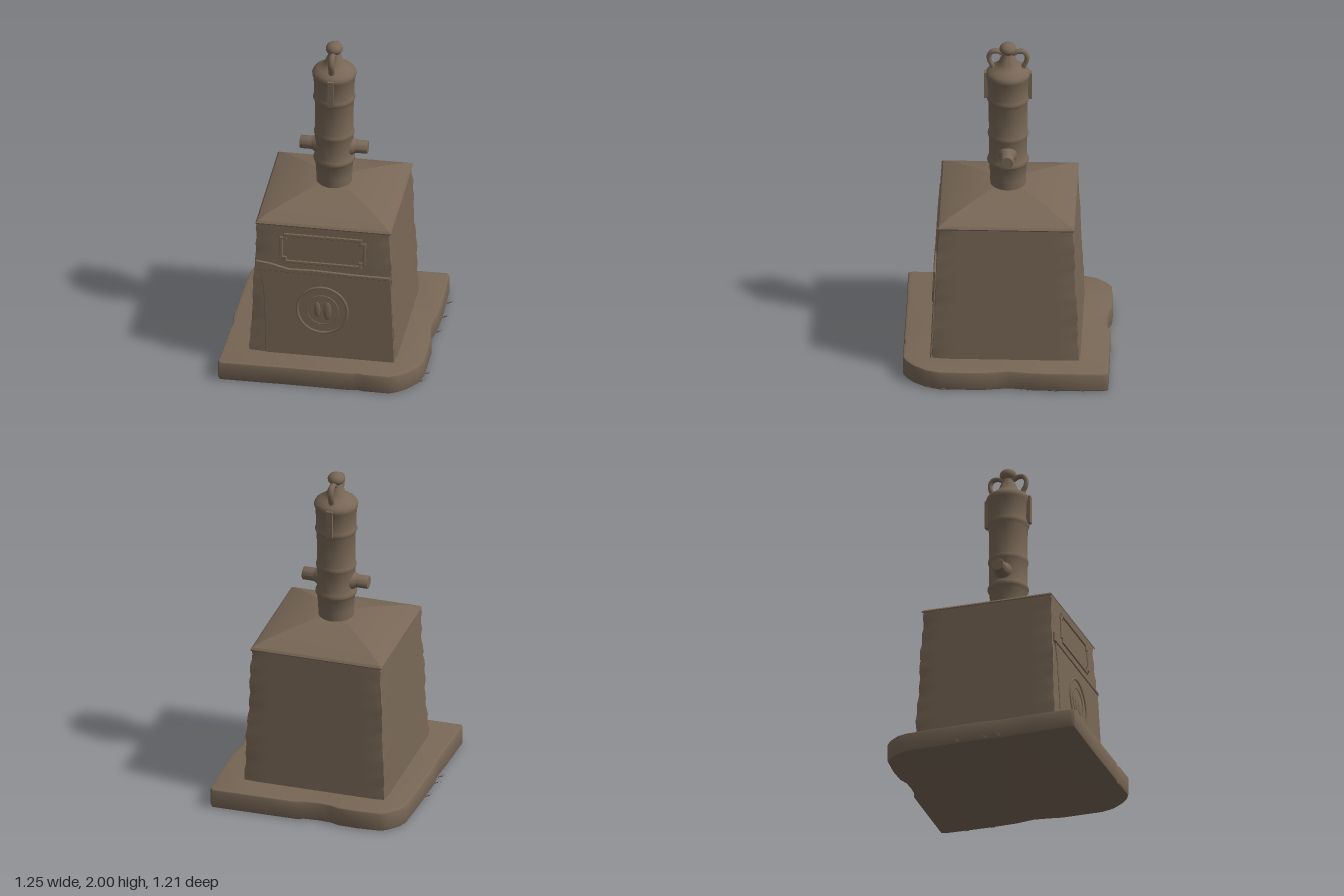
import * as THREE from 'three';
import { toCreasedNormals } from 'three/addons/utils/BufferGeometryUtils.js';

export function createModel() {
  const model = new THREE.Group();
  model.name = 'cannonMonument';
  const stone = new THREE.MeshStandardMaterial({ color: 0x786756 });
  stone.name = 'weatheredStone';

  const add = (name, geometry, parent = model, x = 0, y = 0, z = 0) => {
    const mesh = new THREE.Mesh(geometry, stone);
    mesh.name = name;
    mesh.position.set(x, y, z);
    parent.add(mesh);
    return mesh;
  };
  const vectors = (list) => list.map(([x, y]) => new THREE.Vector2(x, y));
  const CX = -0.02; // the pedestal and barrel sit slightly off the slab centre

  // Worn slab: outline in x, z, extruded downwards from its top
  const outline = vectors([
    [-0.59, -0.44], [-0.57, -0.5], [-0.52, -0.56], [-0.48, -0.59], [-0.34, -0.603], [-0.22, -0.6],
    [-0.17, -0.582], [-0.1, -0.577], [-0.01, -0.583], [0.04, -0.6], [0.3, -0.603], [0.55, -0.605],
    [0.565, -0.58], [0.572, -0.3], [0.568, -0.15], [0.55, -0.03], [0.56, 0.05], [0.575, 0.13],
    [0.575, 0.38], [0.55, 0.46], [0.5, 0.53], [0.45, 0.575], [0.4, 0.6], [0.25, 0.6], [0.22, 0.592],
    [0.18, 0.6], [-0.2, 0.598], [-0.6, 0.602], [-0.61, 0.58], [-0.603, 0.3], [-0.595, 0.15], [-0.605, 0.05], [-0.6, -0.2],
  ]);
  const slab = new THREE.ExtrudeGeometry(new THREE.Shape(outline), {
    depth: 0.096, bevelThickness: 0.012, bevelSize: 0.012, bevelOffset: -0.012, bevelSegments: 2,
  });
  slab.rotateX(Math.PI / 2).translate(0, 0.108, 0);
  add('baseSlab', toCreasedNormals(slab, 0.6));

  // Tapered pedestal block with chipped vertical edges
  const block = new THREE.BoxGeometry(2, 1, 2, 12, 24, 12);
  const p = block.attributes.position;
  for (let i = 0; i < p.count; i++) {
    const x = p.getX(i), y = p.getY(i) + 0.5, z = p.getZ(i);
    const corner = Math.abs(x) > 0.99 && Math.abs(z) > 0.99;
    const chip = corner ? 0.006 * (1 + Math.sin(y * 31 + x * 2 + z * 5) * Math.sin(y * 17 + z)) : 0;
    const half = 0.435 - 0.038 * y - chip;
    p.setXYZ(i, CX + x * half, 0.11 + y * 0.86, z * half);
  }
  add('pedestal', toCreasedNormals(block, 0.5));

  // Shallow four-sided cap
  const cap = new THREE.LatheGeometry(vectors(
    [[0.397, 0.96], [0.4, 0.968], [0.39, 0.98], [0.33, 1.008], [0.21, 1.043], [0.1, 1.068], [0, 1.072]]
      .map(([half, y]) => [half * Math.SQRT2, y])), 4, Math.PI / 4);
  add('pedestalCap', toCreasedNormals(cap, 0.2), model, CX);

  // Front decoration, tilted to follow the pedestal face
  const front = new THREE.Group();
  front.name = 'frontDecoration';
  front.position.set(CX, 0.12, 0.435);
  front.rotation.x = -0.044;
  model.add(front);
  const plate = (name, points, hole, depth) => {
    const shape = new THREE.Shape(vectors(points));
    if (hole) shape.holes.push(new THREE.Path(vectors(hole)));
    return add(name, new THREE.ExtrudeGeometry(shape, {
      depth, bevelThickness: 0.004, bevelSize: 0.004, bevelSegments: 1,
    }), front);
  };
  plate('lowerFacing', [[-0.33, 0], [0.425, 0], [0.4, 0.55], [-0.37, 0.55], [-0.345, 0.42], [-0.335, 0.2]], null, 0.002);
  plate('ledge', [[-0.4, 0.545], [0.398, 0.545], [0.397, 0.557], [0.2, 0.558], [-0.05, 0.566],
    [-0.2, 0.562], [-0.31, 0.59], [-0.39, 0.6]], null, 0.008);

  // Name plate frame with notched corners
  const notched = (w, h, n) => [[-w, -h + n], [-w + n, -h + n], [-w + n, -h], [w - n, -h], [w - n, -h + n], [w, -h + n],
    [w, h - n], [w - n, h - n], [w - n, h], [-w + n, h], [-w + n, h - n], [-w, h - n]].map(([x, y]) => [x, y + 0.7]);
  plate('plaqueFrame', notched(0.252, 0.094, 0.024), notched(0.24, 0.082, 0.024), 0.003);

  // Round medallion: two rims and a plain worn relief
  add('medallionRim', new THREE.TorusGeometry(0.148, 0.008, 6, 48), front, 0, 0.31, 0.008);
  add('medallionInnerRim', new THREE.TorusGeometry(0.093, 0.004, 5, 40), front, 0, 0.31, 0.007);
  [[-0.03, 0.31, 0.02, 0.05], [0.03, 0.305, 0.025, 0.06]].forEach(([x, y, rx, ry]) => {
    const bump = add('medallionRelief', new THREE.SphereGeometry(1, 12, 8), front, x, y, 0.005);
    bump.scale.set(rx, ry, 0.009);
  });

  // Upright cannon barrel
  const cannon = new THREE.Group();
  cannon.name = 'cannon';
  cannon.position.x = CX;
  model.add(cannon);
  const barrel = new THREE.LatheGeometry(vectors([
    [0.103, 1.05], [0.105, 1.12], [0.11, 1.2], [0.118, 1.212], [0.122, 1.225], [0.117, 1.24], [0.111, 1.255],
    [0.112, 1.375], [0.117, 1.39], [0.119, 1.4], [0.116, 1.412], [0.112, 1.425], [0.114, 1.61], [0.12, 1.625],
    [0.124, 1.637], [0.12, 1.65], [0.117, 1.665], [0.121, 1.77], [0.128, 1.785], [0.129, 1.803], [0.119, 1.82],
    [0.095, 1.838], [0.07, 1.853], [0.055, 1.872], [0.045, 1.9], [0.034, 1.92], [0.03, 1.94],
  ]), 40);
  add('barrel', toCreasedNormals(barrel, 0.7), cannon);
  const knob = add('knob', new THREE.SphereGeometry(0.05, 24, 16), cannon, 0, 1.961, 0);
  knob.scale.y = 0.78;

  // Trunnions with flared roots on both sides
  for (const s of [-1, 1]) {
    const trunnion = new THREE.LatheGeometry(vectors([
      [0.058, 0.09], [0.052, 0.11], [0.043, 0.122], [0.039, 0.135], [0.039, 0.195], [0.036, 0.2], [0, 0.2],
    ]), 24);
    trunnion.rotateZ(-s * Math.PI / 2);
    add(s > 0 ? 'leftTrunnion' : 'rightTrunnion', toCreasedNormals(trunnion, 0.6), cannon, 0, 1.305, 0);
  }

  // Lifting loops and the straps below them, front and back
  for (const s of [-1, 1]) {
    const path = new THREE.CatmullRomCurve3([
      [1.925, 0.025], [1.944, 0.06], [1.942, 0.092], [1.915, 0.11], [1.88, 0.107], [1.85, 0.092], [1.822, 0.088],
    ].map(([y, z]) => new THREE.Vector3(0, y, z * s)));
    const loop = add(s > 0 ? 'frontLoop' : 'backLoop', new THREE.TubeGeometry(path, 24, 0.014, 8), cannon);
    loop.scale.x = 1.3;
    add('strap', new THREE.BoxGeometry(0.036, 0.17, 0.04), cannon, 0, 1.722, s * 0.12);
  }

  // Thin grass sprigs around the slab edge
  [[0.57, -0.45, 1], [0.57, -0.29, 1], [0.56, -0.12, 1], [0.57, 0.35, 1], [0.55, 0.44, 1],
    [-0.6, -0.11, -1], [-0.6, 0.06, -1], [-0.6, 0.14, -1]].forEach(([x, z, s], k) => {
    for (let i = -1; i <= 1; i++) {
      const blade = new THREE.ConeGeometry(0.003, 0.045, 4);
      blade.translate(0, 0.0225, 0).rotateZ(-s * (1.2 + 0.1 * i)).rotateY(i * 0.6 + 0.2 * Math.sin(k * 3));
      add('sprig', blade, model, x, 0.006, z);
    }
  });

  return model;
}
